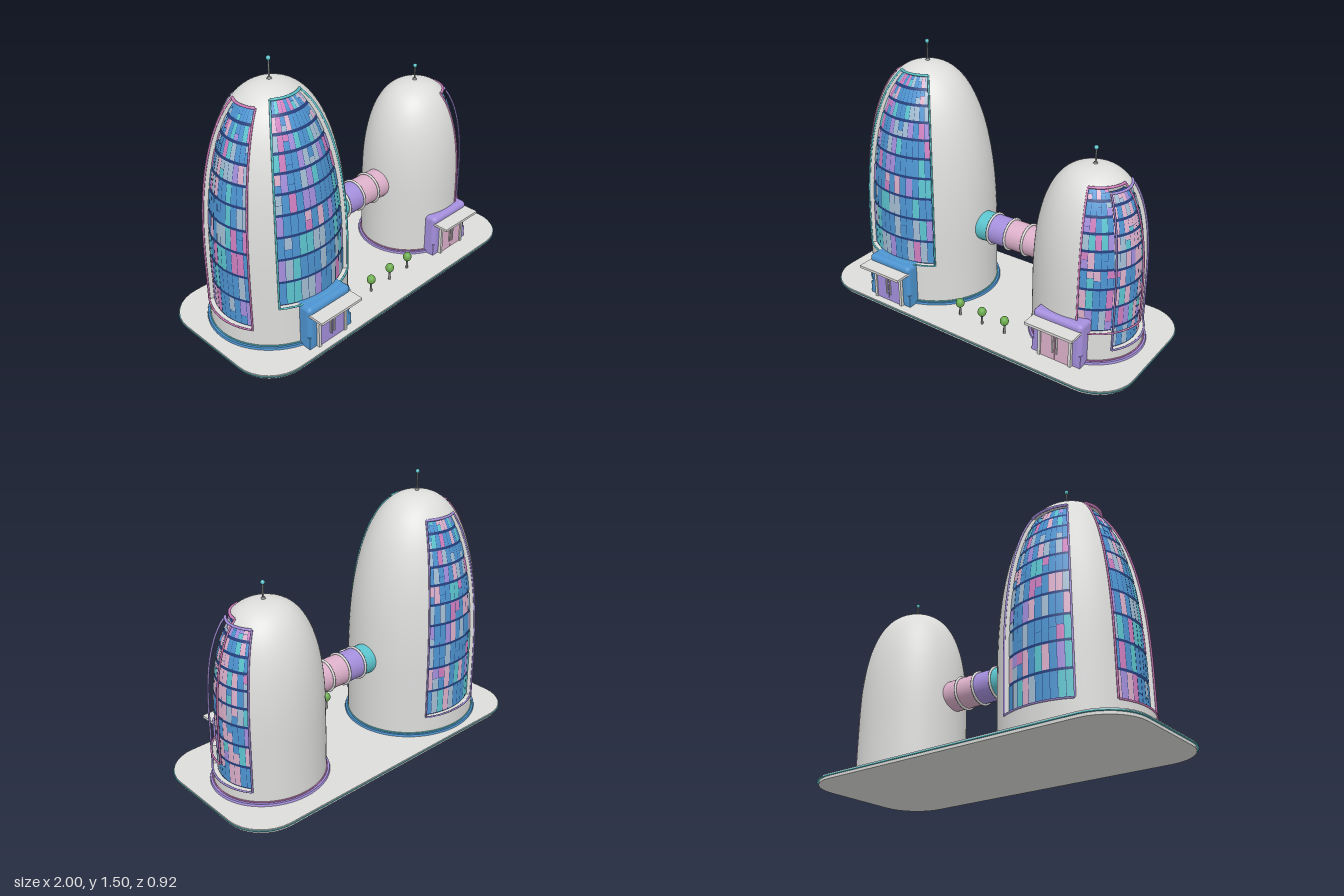
import * as THREE from 'three';
import { mergeGeometries } from 'three/addons/utils/BufferGeometryUtils.js';
import { RoundedBoxGeometry } from 'three/addons/geometries/RoundedBoxGeometry.js';

const mat = (name, color, side = THREE.FrontSide) =>
  Object.assign(new THREE.MeshStandardMaterial({ color, side }), { name });

export function createModel() {
  const M = {
    white: mat('shell white', 0xdcdddb, THREE.DoubleSide),
    blue: mat('blue', 0x4d94d0),
    lilac: mat('lilac', 0xa48fdc),
    palePink: mat('pale pink', 0xdcb0ca),
    teal: mat('teal', 0x5cc4ce),
    navy: mat('navy', 0x24407f),
    orchid: mat('orchid', 0xcf7fbe),
    mist: mat('mist blue', 0xa3bdd2),
    green: mat('leaf green', 0x6cac4e),
    metal: mat('metal grey', 0x858a88),
  };
  const model = new THREE.Group();
  let seed = 7;
  const rnd = () => (seed = (seed * 16807) % 2147483647) / 2147483647;

  const add = (parent, name, geo, m, x = 0, y = 0, z = 0) => {
    const mesh = new THREE.Mesh(geo, m);
    mesh.name = name;
    mesh.position.set(x, y, z);
    parent.add(mesh);
    return mesh;
  };
  const box = (p, name, m, x0, x1, y0, y1, z0, z1) =>
    add(p, name, new THREE.BoxGeometry(x1 - x0, y1 - y0, z1 - z0), m, (x0 + x1) / 2, (y0 + y1) / 2, (z0 + z1) / 2);

  // Plinth: rounded slab with a thin teal edge band
  const slab = (grow, y0, y1, name, m) => {
    const x = 1 + grow, n = -0.43 - grow, f = 0.46 + grow, r = 0.22, q = Math.PI / 2, s = new THREE.Shape();
    s.absarc(x - r, n + r, r, -q, 0);
    s.absarc(x - r, f - r, r, 0, q);
    s.absarc(-x + r, f - r, r, q, 2 * q);
    s.absarc(-x + r, n + r, r, 2 * q, 3 * q);
    const g = new THREE.ExtrudeGeometry(s, { depth: y1 - y0, bevelEnabled: false, curveSegments: 4 });
    add(model, name, g.rotateX(-Math.PI / 2), m, 0, y0, 0);
  };
  slab(-0.008, 0, 0.016, 'plinthFoot', M.white);
  slab(0, 0.015, 0.021, 'plinthBand', M.teal);
  slab(-0.003, 0.018, 0.027, 'plinthTop', M.white);

  // Pane colours, weighted by repetition
  const coolPanes = ['blue', 'blue', 'blue', 'blue', 'blue', 'blue', 'mist', 'mist', 'palePink', 'orchid', 'teal', 'lilac'];
  const warmPanes = ['blue', 'blue', 'blue', 'blue', 'mist', 'palePink', 'palePink', 'palePink', 'orchid', 'teal', 'lilac'];

  // Heights from y0 to y1, closer together near the top
  const heights = (y0, y1, n) => Array.from({ length: n + 1 }, (_, i) => y0 + (y1 - y0) * (1 - (1 - i / n) ** 2));

  // Dome tower: shell split into sectors, with recessed tiled windows
  // angles in degrees from +x towards +z
  function tower({ name, x, R, top, n, zs, ring, trim, antenna, sectors, windows, panes }) {
    const g = new THREE.Group();
    g.name = name;
    g.position.set(x, 0, -0.036);
    model.add(g);
    const spring = 0.35, inset = 0.025;
    const radius = y => y <= spring ? R
      : R * Math.pow(Math.max(0, 1 - Math.pow((y - spring) / (top - spring), n)), 1 / n);
    const point = (deg, y, d = 0) => {
      const a = deg * Math.PI / 180, r = Math.max(0, radius(y) - d);
      return new THREE.Vector3(r * Math.cos(a), y, zs * r * Math.sin(a));
    };
    // Curved patch of the dome surface through the heights ys, pushed in by d
    const patch = (a0, a1, ys, d, nu) => {
      const nv = ys.length - 1, geo = new THREE.PlaneGeometry(1, 1, nu, nv);
      const p = geo.attributes.position, nm = geo.attributes.normal;
      for (let i = 0; i < p.count; i++) {
        const deg = a1 - (p.getX(i) + 0.5) * (a1 - a0), a = deg * Math.PI / 180;
        const y = ys[Math.round((p.getY(i) + 0.5) * nv)];
        const q = point(deg, y, d), slope = (radius(y) - radius(y - 1e-4)) / 1e-4;
        const k = new THREE.Vector3(zs * Math.cos(a), -slope * zs, Math.sin(a)).normalize();
        p.setXYZ(i, q.x, q.y, q.z);
        nm.setXYZ(i, k.x, k.y, k.z);
      }
      return geo;
    };
    // Flat strip from the shell surface back to the window plane
    const reveal = (n, at) => {
      const geo = new THREE.PlaneGeometry(1, 1, n, 1), p = geo.attributes.position;
      for (let i = 0; i < p.count; i++) {
        const [deg, y] = at(p.getX(i) + 0.5), q = point(deg, y, p.getY(i) > 0 ? inset + 0.005 : 0);
        p.setXYZ(i, q.x, q.y, q.z);
      }
      geo.computeVertexNormals();
      return geo;
    };

    const levels = [...new Set([...heights(0.025, top, 34), ...sectors.flatMap(s => s.slice(2))])].sort((a, b) => a - b);
    const shell = [];
    for (const [a0, a1, lo, hi] of sectors) {
      const nu = Math.ceil((a1 - a0) / 5);
      if (lo === undefined) shell.push(patch(a0, a1, levels, 0, nu));
      else {
        shell.push(patch(a0, a1, levels.filter(y => y <= lo), 0, nu), patch(a0, a1, levels.filter(y => y >= hi), 0, nu));
        for (const y of [lo, hi]) shell.push(reveal(nu, t => [a0 + t * (a1 - a0), y]));
      }
    }
    // Side jambs where neighbouring openings differ
    sectors.forEach(([, a1, lo, hi], i) => {
      const [, , lo2, hi2] = sectors[(i + 1) % sectors.length];
      const spans = lo === undefined ? [[lo2, hi2]] : lo2 === undefined ? [[lo, hi]] : [[lo, lo2], [hi, hi2]];
      for (const [b, t] of spans) if (b !== t) shell.push(reveal(20, s => [a1, b + s * (t - b)]));
    });
    add(g, 'shell', mergeGeometries(shell), M.white);

    // Windows: navy backing, coloured panes, slim frame on the shell edge
    for (const w of windows) {
      const { a0, a1, lo, hi, frame, rows = 10, cols = 10, from = a0 } = w;
      const wg = new THREE.Group();
      wg.name = w.name;
      g.add(wg);
      add(wg, 'mullions', patch(from, a1, heights(lo, hi, 24), inset + 0.003, 16), M.navy);
      const row = k => lo + (hi - lo) * (1.4 * k / rows - 0.4 * (k / rows) ** 2);
      const tiles = {}, step = (a1 - from) / cols;
      const tile = (b0, b1, y0, y1) => {
        const c = panes[Math.floor(rnd() * panes.length)];
        (tiles[c] ??= []).push(patch(b0 + 0.2, b1 - 0.2, heights(y0, y1, 3), inset, 2));
      };
      for (let k = 0; k < rows; k++) for (let c = 0; c < cols; c++) {
        const b = from + c * step, y0 = row(k) + 0.007, y1 = row(k + 1) - 0.007, m = y0 + (y1 - y0) * (0.35 + 0.3 * rnd());
        if (rnd() < 0.1 + 0.25 * k / rows) {
          tile(b, b + step, y0, m - 0.001);
          tile(b, b + step, m + 0.001, y1);
        } else tile(b, b + step, y0, y1);
      }
      for (const c in tiles) add(wg, c + 'Panes', mergeGeometries(tiles[c]), M[c]);
      const edge = (f, r) => new THREE.TubeGeometry(new THREE.CatmullRomCurve3(
        Array.from({ length: 17 }, (_, i) => point(...f(i / 16), -0.002))), 32, r, 6);
      const curve = v => lo + (hi - lo) * (1 - (1 - v) ** 2);
      add(wg, 'frame', mergeGeometries([
        edge(t => [a0, curve(t)], 0.0055), edge(t => [a1, curve(t)], 0.0055),
        edge(t => [a0 + t * (a1 - a0), lo], 0.0055), edge(t => [a0 + t * (a1 - a0), hi], 0.008),
      ]), frame);
    }

    // Flat base ring with a thin trim line above it
    add(g, 'baseRing', new THREE.CylinderGeometry(R + 0.016, R + 0.02, 0.014, 64), ring, 0, 0.032, 0).scale.z = zs;
    add(g, 'baseTrim', new THREE.TorusGeometry(R + 0.002, 0.004, 6, 64).rotateX(Math.PI / 2), trim, 0, 0.042, 0).scale.z = zs;

    // Antenna
    add(g, 'antennaFoot', new THREE.CylinderGeometry(0.008, 0.014, 0.012, 12), M.metal, 0, top + 0.003, 0);
    add(g, 'antennaRod', new THREE.CylinderGeometry(0.005, 0.005, antenna, 8), M.metal, 0, top + antenna / 2, 0);
    add(g, 'antennaBall', new THREE.SphereGeometry(0.012, 16, 12), M.teal, 0, top + antenna, 0);
  }

  tower({
    name: 'tallTower', x: -0.507, R: 0.395, top: 1.385, n: 2.4, zs: 0.92,
    ring: M.blue, trim: M.teal, antenna: 0.106, panes: coolPanes,
    sectors: [[-60, 52], [52, 128, 0.28, 1.34], [128, 150], [150, 210, 0.14, 1.31], [210, 240], [240, 300, 0.14, 1.27]],
    windows: [
      { name: 'frontWindow', a0: 52, a1: 128, lo: 0.28, hi: 1.34, frame: M.teal, cols: 12 },
      { name: 'sideWindow', a0: 150, a1: 210, lo: 0.14, hi: 1.31, frame: M.orchid },
      { name: 'backWindow', a0: 240, a1: 300, lo: 0.14, hi: 1.27, frame: M.lilac },
    ],
  });
  tower({
    name: 'shortTower', x: 0.58, R: 0.312, top: 1.04, n: 2.6, zs: 0.935,
    ring: M.lilac, trim: M.orchid, antenna: 0.086, panes: warmPanes,
    sectors: [[-37, 0, 0.1, 0.955], [0, 37, 0.1, 0.98], [37, 73, 0.21, 0.98], [73, 323]],
    windows: [
      { name: 'sideWindow', a0: -37, a1: 37, lo: 0.1, hi: 0.955, frame: M.lilac, rows: 9 },
      { name: 'cornerWindow', a0: 0, a1: 73, from: 37, lo: 0.21, hi: 0.98, frame: M.orchid, rows: 8, cols: 5 },
    ],
  });

  // Tube bridge in coloured sections with collars
  const bridge = new THREE.Group();
  bridge.name = 'bridge';
  bridge.position.set(0, 0.47, -0.036);
  model.add(bridge);
  const pipe = (name, x0, x1, r, m) =>
    add(bridge, name, new THREE.CylinderGeometry(r, r, x1 - x0, 32).rotateZ(Math.PI / 2), m, (x0 + x1) / 2);
  pipe('tealSection', -0.15, -0.04, 0.086, M.teal);
  pipe('lilacSection', -0.04, 0.08, 0.086, M.lilac);
  pipe('pinkSection', 0.08, 0.32, 0.086, M.palePink);
  for (const x of [-0.04, 0.077, 0.193])
    add(bridge, 'collar', new THREE.TorusGeometry(0.09, 0.007, 8, 32).rotateY(Math.PI / 2), M.white, x);

  // Entrance porches
  function entrance(name, x, z, body, door) {
    const g = new THREE.Group();
    g.name = name;
    g.position.set(x, 0, z);
    model.add(g);
    add(g, 'porch', new RoundedBoxGeometry(0.3, 0.26, 0.18, 4, 0.025), body, 0, 0.155, -0.09);
    box(g, 'porchFoot', body, -0.15, 0.15, 0.02, 0.1, -0.17, -0.002);
    box(g, 'canopy', M.white, -0.145, 0.145, 0.235, 0.25, -0.06, 0.086);
    box(g, 'lintel', M.white, -0.1, 0.1, 0.207, 0.22, -0.01, 0.018);
    for (const s of [-1, 1]) {
      box(g, 'doorPost', M.white, s * 0.094 - 0.008, s * 0.094 + 0.008, 0.025, 0.215, -0.01, 0.018);
      box(g, 'doorLeaf', door, s * 0.044 - 0.0425, s * 0.044 + 0.0425, 0.027, 0.208, -0.01, 0.01);
      box(g, 'doorHandle', M.white, s * 0.013 - 0.004, s * 0.013 + 0.004, 0.07, 0.17, 0.005, 0.016);
    }
  }
  entrance('tallEntrance', -0.51, 0.374, M.blue, M.lilac);
  entrance('shortEntrance', 0.58, 0.29, M.lilac, M.palePink);

  // Small trees
  for (const x of [-0.08, 0.075, 0.228]) {
    add(model, 'treeTrunk', new THREE.CylinderGeometry(0.005, 0.007, 0.07, 8), M.metal, x, 0.06, 0.258);
    add(model, 'treeCrown', new THREE.SphereGeometry(0.025, 16, 12), M.green, x, 0.107, 0.258).scale.y = 1.15;
  }
  return model;
}
